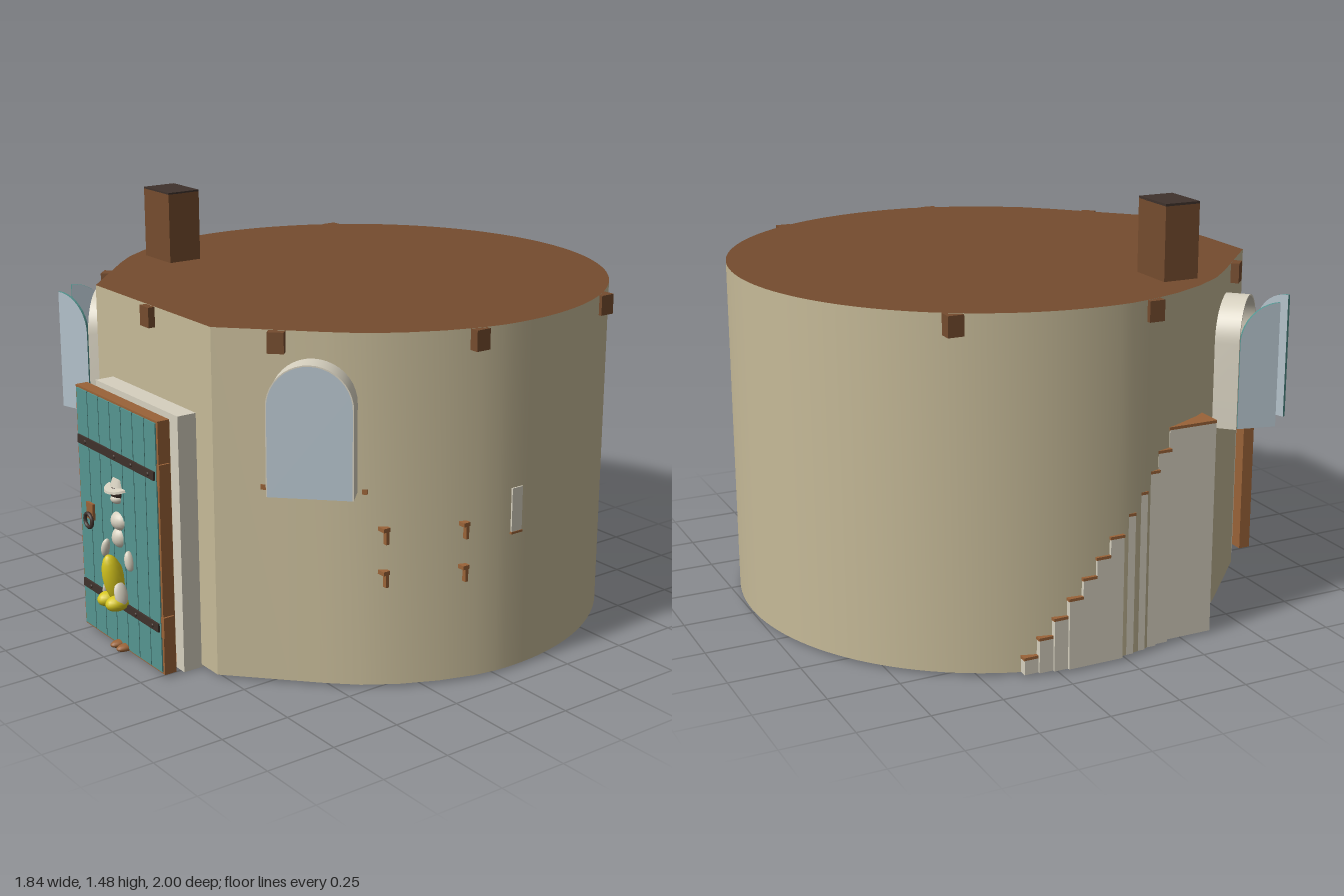
import * as THREE from 'three';
import { toCreasedNormals } from 'three/addons/utils/BufferGeometryUtils.js';

const mat = (name, color, side = THREE.FrontSide) => {
  const m = new THREE.MeshStandardMaterial({ color, side });
  m.name = name;
  return m;
};

export function createModel() {
  const root = new THREE.Group();
  root.name = 'roundHouse';
  const plaster = mat('plaster', 0xc6ba98);
  const cream = mat('cream', 0xd6d0bf, THREE.DoubleSide);
  const roofBrown = mat('roofBrown', 0x754c2e);
  const wood = mat('wood', 0x9a6338);
  const iron = mat('iron', 0x3f322c);
  const teal = mat('teal', 0x559590);
  const glass = mat('glass', 0xb4c2cb, THREE.DoubleSide);
  const yellow = mat('yellow', 0xd6c61e);

  const add = (name, geo, material, x = 0, y = 0, z = 0, parent = root) => {
    const m = new THREE.Mesh(geo, material);
    m.name = name;
    m.position.set(x, y, z);
    parent.add(m);
    return m;
  };
  const box = (name, material, w, h, d, x, y, z, parent) =>
    add(name, new THREE.BoxGeometry(w, h, d), material, x, y, z, parent);
  const ball = (name, material, sx, sy, sz, x, y, z, parent) => {
    const m = add(name, new THREE.SphereGeometry(1, 16, 12), material, x, y, z, parent);
    m.scale.set(sx, sy, sz);
    return m;
  };

  // Wall plan: a round back that narrows to a flat front
  const half = [[0.37, 0.77], [0.55, 0.6], [0.64, 0.515], [0.72, 0.43], [0.79, 0.325], [0.85, 0.2], [0.89, 0.08]];
  const plan = half.map(([x, z]) => [x, z]);
  for (let i = 0; i <= 72; i++) {
    const a = 0.1 - (i / 72) * (Math.PI + 0.2);
    plan.push([0.91 * Math.cos(a), -0.09 + 0.91 * Math.sin(a)]);
  }
  [...half].reverse().forEach(([x, z]) => plan.push([-x, z]));
  const planShape = new THREE.Shape(plan.map(([x, z]) => new THREE.Vector2(x, -z)));
  const walls = toCreasedNormals(
    new THREE.ExtrudeGeometry(planShape, { depth: 1.21, bevelEnabled: false }).rotateX(-Math.PI / 2), 0.35);
  add('wallsWithRoof', walls, [roofBrown, plaster], 0, 0.01, 0);

  // Chimney
  box('chimney', roofBrown, 0.175, 0.27, 0.13, -0.612, 1.34, 0.305);
  box('chimneyTop', iron, 0.175, 0.008, 0.13, -0.612, 1.477, 0.305);

  // Beam ends under the roof edge
  box('beamEnd', roofBrown, 0.055, 0.07, 0.05, 0, 1.184, 0.77);
  for (const s of [-1, 1]) {
    for (const [x, z, turn] of [[0.53, 0.625, 0.8], [0.885, 0.09, 0], [0.78, -0.565, 0]]) {
      box('beamEnd', roofBrown, 0.05, 0.07, 0.055, s * x, 1.184, z).rotation.y = -s * turn;
    }
  }

  // Arched window bays on the two slanted walls
  const arch = (r, spring) => {
    const p = [new THREE.Vector2(-r, 0), new THREE.Vector2(r, 0)];
    for (let i = 0; i <= 20; i++) {
      const a = (i / 20) * Math.PI;
      p.push(new THREE.Vector2(r * Math.cos(a), spring + r * Math.sin(a)));
    }
    return p;
  };
  for (const s of [-1, 1]) {
    const bay = new THREE.Group();
    bay.name = s > 0 ? 'leftWindow' : 'rightWindow';
    bay.position.set(s * 0.67, 0.69, 0.6);
    bay.rotation.y = s * Math.PI / 4;
    root.add(bay);
    const ring = new THREE.Shape(arch(0.142, 0.3));
    ring.holes.push(new THREE.Path(arch(0.132, 0.3).map(v => new THREE.Vector2(v.x, v.y + 0.004))));
    const lining = toCreasedNormals(new THREE.ExtrudeGeometry(ring, { depth: 0.13, bevelEnabled: false }), 0.5);
    add('windowLining', lining, cream, 0, 0, -0.13, bay);
    box('windowSill', wood, 0.35, 0.018, 0.03, 0, 0.002, -0.1, bay);
    if (s > 0) {
      add('windowPane', new THREE.ShapeGeometry(new THREE.Shape(arch(0.138, 0.3))), glass, 0, 0, 0.002, bay);
    }
  }

  // Open glazed shutters of the right window
  const leaf = new THREE.Shape();
  leaf.moveTo(0, 0);
  leaf.lineTo(0.138, 0);
  leaf.lineTo(0.138, 0.438);
  for (let i = 0; i <= 10; i++) {
    const a = Math.PI / 2 + (i / 10) * Math.PI / 2;
    leaf.lineTo(0.138 + 0.138 * Math.cos(a), 0.3 + 0.138 * Math.sin(a));
  }
  const leafGeo = new THREE.ExtrudeGeometry(leaf, { depth: 0.01, bevelEnabled: false });
  for (const [x, z, dx, dz] of [[-0.755, 0.51, -0.03, 0.13], [-0.58, 0.7, -0.115, 0.035]]) {
    add('shutter', leafGeo, [glass, teal], x, 0.69, z).rotation.y = Math.atan2(-dz, dx);
  }

  // Doorway surround
  for (const s of [-1, 1]) box('doorJamb', cream, 0.05, 0.91, 0.08, s * 0.245, 0.455, 0.8);
  box('doorLintel', cream, 0.44, 0.05, 0.08, 0, 0.885, 0.8);
  box('doorSill', wood, 0.44, 0.02, 0.08, 0, 0.012, 0.8);

  // Door leaf with planks, straps, hinges and ring handle
  const door = new THREE.Group();
  door.name = 'door';
  root.add(door);
  box('doorLeaf', wood, 0.545, 0.895, 0.045, 0, 0.46, 0.895, door);
  const planks = [-0.264, -0.188, -0.112, -0.036, 0.04, 0.116, 0.192, 0.264];
  for (let i = 0; i < 7; i++) {
    const w = planks[i + 1] - planks[i];
    box('plank', teal, w - 0.004, 0.88, 0.006, planks[i] + w / 2, 0.46, 0.919, door);
  }
  for (const y of [0.18, 0.718]) {
    box('strap', iron, 0.51, 0.03, 0.008, 0, y, 0.925, door);
    box('hinge', wood, 0.02, 0.075, 0.04, 0.27, y + 0.005, 0.9, door);
    for (const x of [-0.2, 0, 0.11, 0.22]) ball('stud', iron, 0.007, 0.007, 0.004, x, y, 0.93, door);
  }
  box('handlePlate', wood, 0.045, 0.06, 0.012, -0.185, 0.468, 0.926, door);
  add('handleRing', new THREE.TorusGeometry(0.025, 0.007, 8, 20), iron, -0.185, 0.435, 0.937, door);

  // Small figure standing at the door
  const figure = new THREE.Group();
  figure.name = 'figure';
  root.add(figure);
  ball('face', iron, 0.032, 0.03, 0.035, 0, 0.592, 0.912, figure);
  ball('chin', cream, 0.026, 0.02, 0.03, 0, 0.568, 0.917, figure);
  const brim = add('hatBrim', new THREE.CylinderGeometry(0.055, 0.058, 0.008, 18), cream, 0, 0.61, 0.91, figure);
  brim.rotation.x = 0.2;
  add('hatCrown', new THREE.CylinderGeometry(0.026, 0.034, 0.026, 18), cream, 0, 0.625, 0.91, figure);
  ball('chest', cream, 0.042, 0.035, 0.036, 0, 0.485, 0.91, figure);
  ball('waist', cream, 0.034, 0.038, 0.034, 0, 0.425, 0.912, figure);
  ball('robe', yellow, 0.034, 0.1, 0.04, 0, 0.275, 0.945, figure).rotation.x = 0.25;
  for (const s of [-1, 1]) {
    ball('hand', cream, 0.014, 0.036, 0.018, s * 0.08, 0.365, 0.93, figure).rotation.z = s * 0.25;
    ball('robeHem', yellow, 0.032, 0.028, 0.045, s * 0.028, 0.2, 0.953, figure);
    ball('robeSide', cream, 0.014, 0.045, 0.025, s * 0.04, 0.235, 0.945, figure).rotation.z = s * 0.3;
    ball('shoe', wood, 0.02, 0.014, 0.04, s * 0.021, 0.024, 0.92, figure);
  }

  // Outer stair climbing the right wall to a landing
  const stair = new THREE.Group();
  stair.name = 'stair';
  root.add(stair);
  const step = (z0, z1, outer, inner, top) => {
    const w = outer - inner, x = -(outer + inner) / 2, z = (z0 + z1) / 2;
    box('stepBlock', cream, w, top - 0.02, z1 - z0, x, (top - 0.02) / 2 + 0.01, z, stair);
    box('tread', wood, w, 0.01, z1 - z0 + 0.004, x, top - 0.005, z, stair);
  };
  for (let i = 0; i < 11; i++) {
    const z = -0.37 + i * 0.05;
    const outer = i < 7 ? Math.min(0.92, 0.893 + i * 0.009) : 0.915 - (i - 6) * 0.01;
    step(z, z + 0.05, outer, 0.76, 0.07 + i * 0.063);
  }
  step(0.18, 0.36, 0.86, 0.7, 0.77);

  // Slit window and wall pegs on the left side
  box('slitWindow', cream, 0.03, 0.155, 0.045, 0.9, 0.58, -0.072);
  box('slitSill', wood, 0.03, 0.008, 0.05, 0.902, 0.5, -0.072);
  for (const [x, z] of [[0.762, 0.372], [0.877, 0.13]]) {
    for (const y of [0.565, 0.415]) {
      box('pegArm', wood, 0.04, 0.014, 0.026, x, y, z);
      box('pegPost', wood, 0.016, 0.055, 0.012, x + 0.008, y - 0.025, z - 0.006);
    }
  }
  return root;
}
